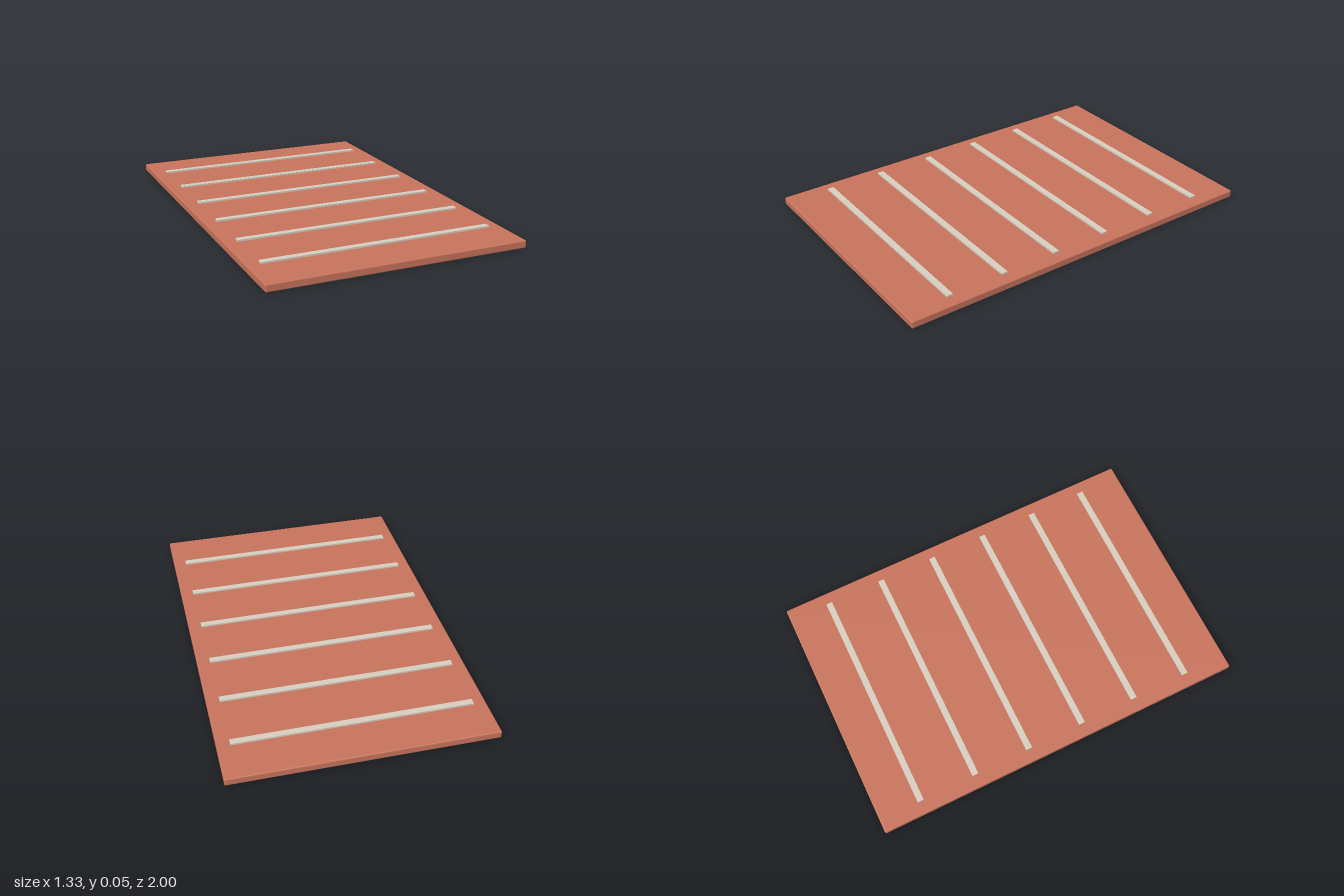
import * as THREE from 'three';
import { RoundedBoxGeometry } from 'three/addons/geometries/RoundedBoxGeometry.js';

export function createModel() {
  const model = new THREE.Group();
  const clay = new THREE.MeshStandardMaterial({ color: 0xc9745c });
  const cream = new THREE.MeshStandardMaterial({ color: 0xd8cfc0 });

  // Flat slab with softly rounded edges
  const slab = new THREE.Mesh(new RoundedBoxGeometry(1.33, 0.04, 2, 3, 0.007), clay);
  slab.name = 'slab';
  slab.position.y = 0.02;
  model.add(slab);

  // Six raised strips across the top, evenly spaced from front to back
  const stripGeometry = new THREE.BoxGeometry(1.2, 0.014, 0.033);
  const strips = new THREE.Group();
  strips.name = 'strips';
  for (let i = 0; i < 6; i++) {
    const strip = new THREE.Mesh(stripGeometry, cream);
    strip.name = `strip${i + 1}`;
    strip.position.set(0, 0.042, 0.76 - i * 0.3067);
    strips.add(strip);
  }
  model.add(strips);
  return model;
}
